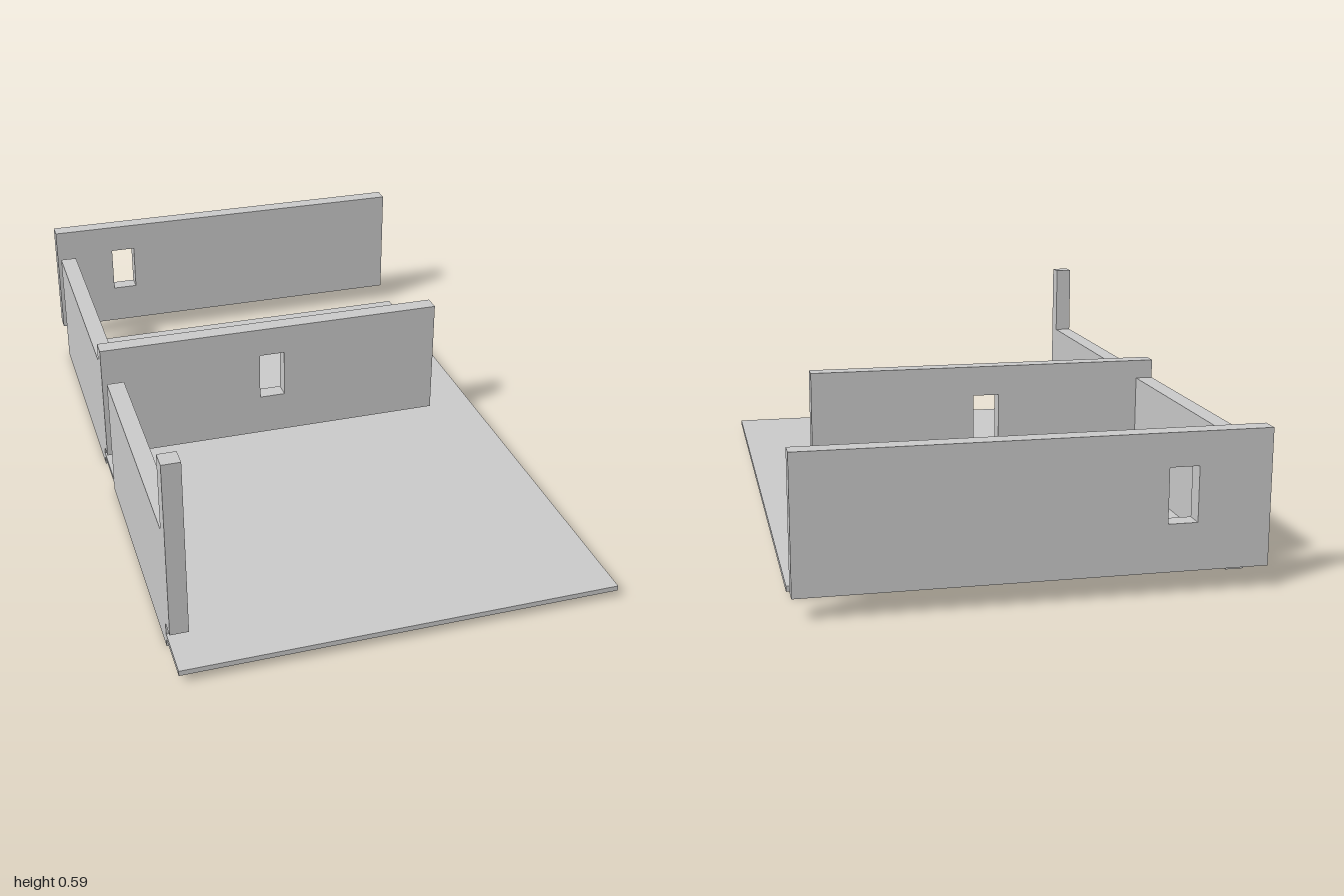
import * as THREE from 'three';

const T = 0.051; // wall thickness
const X0 = -0.613, X1 = 0.613; // plan limits

const material = new THREE.MeshStandardMaterial({ color: 0xcccccc, flatShading: true });

function polygon(points, Type = THREE.Shape) {
  return new Type(points.map(([x, y]) => new THREE.Vector2(x, y)));
}

const rect = (x0, x1, y0, y1) => [[x0, y0], [x1, y0], [x1, y1], [x0, y1]];

function slab(name, shape) {
  const geometry = new THREE.ExtrudeGeometry(shape, { depth: T, bevelEnabled: false });
  const mesh = new THREE.Mesh(geometry, material);
  mesh.name = name;
  return mesh;
}

// Wall across the plan with one window opening; z is its back face
function crossWall(name, x1, z, windowX) {
  const shape = polygon(rect(X0, x1, 0.06, 0.426));
  shape.holes.push(polygon(rect(windowX, windowX + 0.079, 0.188, 0.336), THREE.Path));
  const wall = slab(name, shape);
  wall.position.z = z;
  return wall;
}

// Wall along the right edge; outline points are [z, y]
function sideWall(name, outline) {
  const wall = slab(name, polygon(outline.map(([z, y]) => [-z, y]).reverse()));
  wall.rotation.y = Math.PI / 2; // shape x becomes -z, depth becomes +x
  wall.position.x = X0;
  return wall;
}

export function createModel() {
  const model = new THREE.Group();
  model.name = 'wallLayout';

  // Thin floor plate
  const floor = new THREE.Mesh(new THREE.BoxGeometry(X1 - X0, 0.015, 1.847), material);
  floor.name = 'floor';
  floor.position.set(0, 0.032, 1 - 1.847 / 2);
  model.add(floor);

  // Two cross walls with windows
  model.add(crossWall('backWall', X1, -1, -0.418));
  model.add(crossWall('middleWall', 0.46, -0.078, -0.118));

  // Side walls, the front one rising into a corner post
  model.add(sideWall('backSideWall', rect(-0.847, -0.077, 0, 0.37)));
  model.add(sideWall('frontSideWall', [
    [0.077, 0], [0.848, 0], [0.848, 0.076], [0.9, 0.076],
    [0.9, 0.592], [0.848, 0.592], [0.848, 0.37], [0.077, 0.37],
  ]));

  return model;
}
